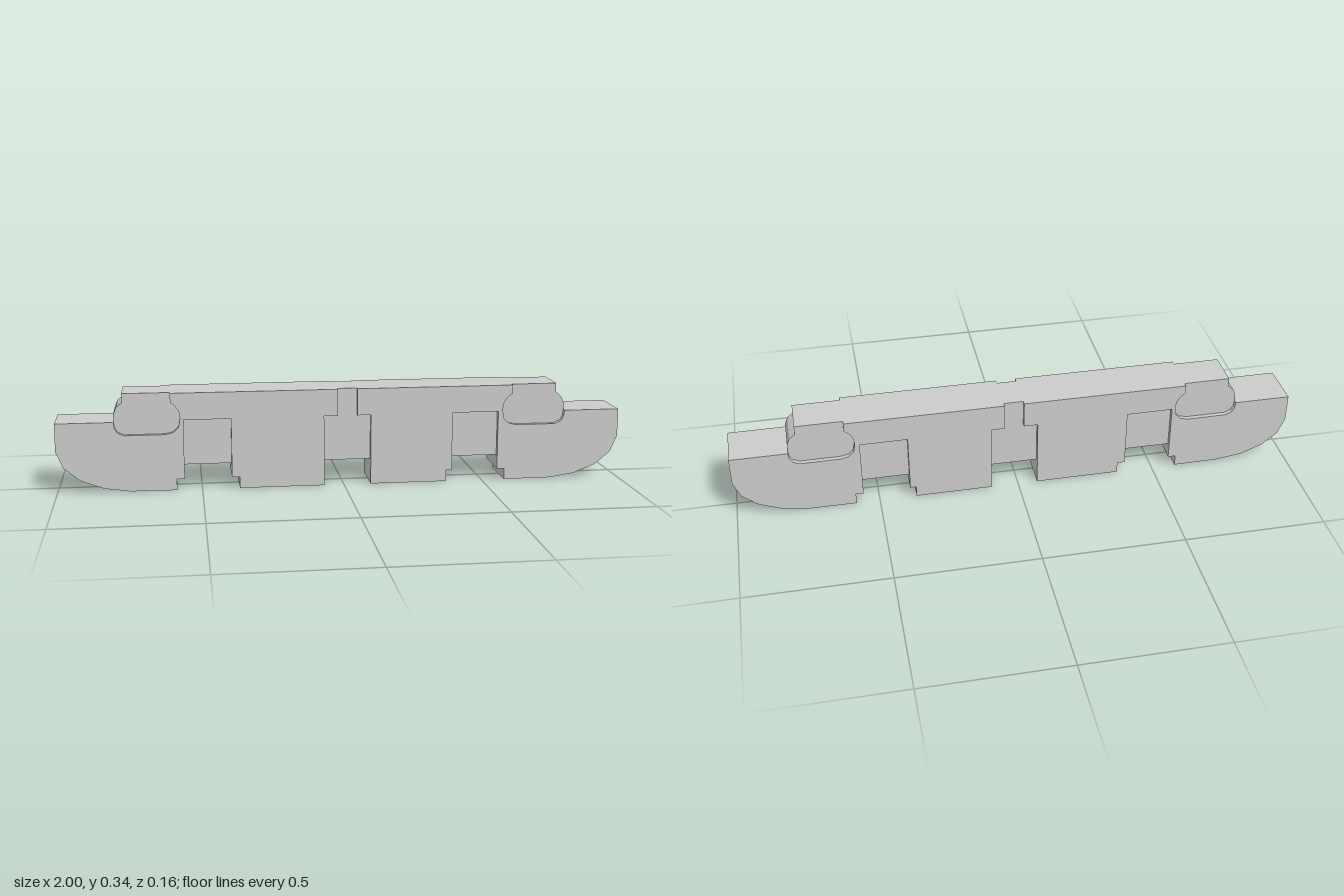
import * as THREE from 'three';

const TOP = 0.345, DECK = 0.248, CORE_Z = 0.066, OUTER_Z = 0.082;
const material = new THREE.MeshStandardMaterial({ color: 0xcccccc, flatShading: true });

// Rounded lower end, from the deck corner down to the flat underside
const nose = [[1, DECK], [1, 0.149], [0.975, 0.09], [0.92, 0.045], [0.84, 0.014], [0.75, 0.001]];
// Outer edge of the lug, from the top down to its bottom
const lugOuter = [[0.77, TOP], [0.77, 0.313], [0.79, 0.297], [0.8, 0.272], [0.8, DECK]];
// Edge of the socket around the lug, from the deck round to the top
const socket = [
  [0.8, DECK], [0.797, 0.226], [0.787, 0.21], [0.765, 0.2], [0.625, 0.2], [0.597, 0.206],
  [0.578, 0.224], [0.572, 0.255], [0.576, 0.28], [0.588, 0.3], [0.605, 0.313], [0.605, TOP],
];

// The two halves differ slightly around the central channel and windows
const halves = [
  { name: 'left', s: 1, slot: 0.048, gap: 0.096, window: [0.39, 0.556], step: [0.369, 0.583] },
  { name: 'right', s: -1, slot: 0.021, gap: 0.07, window: [0.396, 0.561], step: [0.369, 0.588] },
];

// Stepped notch in the underside; height is where the window or slot ends
function notch(h, height) {
  const [a, b] = h.window, [c, d] = h.step;
  return [[d, 0], [d, 0.04], [b, 0.04], [b, height], [a, height], [a, 0.04], [c, 0.04], [c, 0], [h.gap, 0]];
}

function extrude(name, points, z0, z1) {
  const shape = new THREE.Shape(points.map(([x, y]) => new THREE.Vector2(x, y)));
  const geometry = new THREE.ExtrudeGeometry(shape, { depth: z1 - z0, bevelEnabled: false });
  geometry.translate(0, 0, z0);
  const mesh = new THREE.Mesh(geometry, material);
  mesh.name = name;
  return mesh;
}

const mirror = (points, s) => points.map(([x, y]) => [s * x, y]);

export function createModel() {
  const group = new THREE.Group();
  group.name = 'connectorBar';

  // Core with both lugs and the through notches below
  const [l, r] = halves.map((h) =>
    mirror([...lugOuter, ...nose, ...notch(h, 0.088), [h.gap, 0.088]], h.s));
  group.add(extrude('core', [...l, ...r.reverse()], -CORE_Z, CORE_Z));

  // Raised side panels leaving sockets, windows and central channel recessed
  for (const h of halves) {
    const outline = mirror([
      ...nose, ...notch(h, 0.25), [h.gap, 0.25], [h.slot, 0.25], [h.slot, TOP],
      ...[...socket].reverse(),
    ], h.s);
    group.add(extrude(h.name + 'FrontPanel', outline, CORE_Z, OUTER_Z));
    group.add(extrude(h.name + 'BackPanel', outline, -OUTER_Z, -CORE_Z));
  }
  return group;
}
